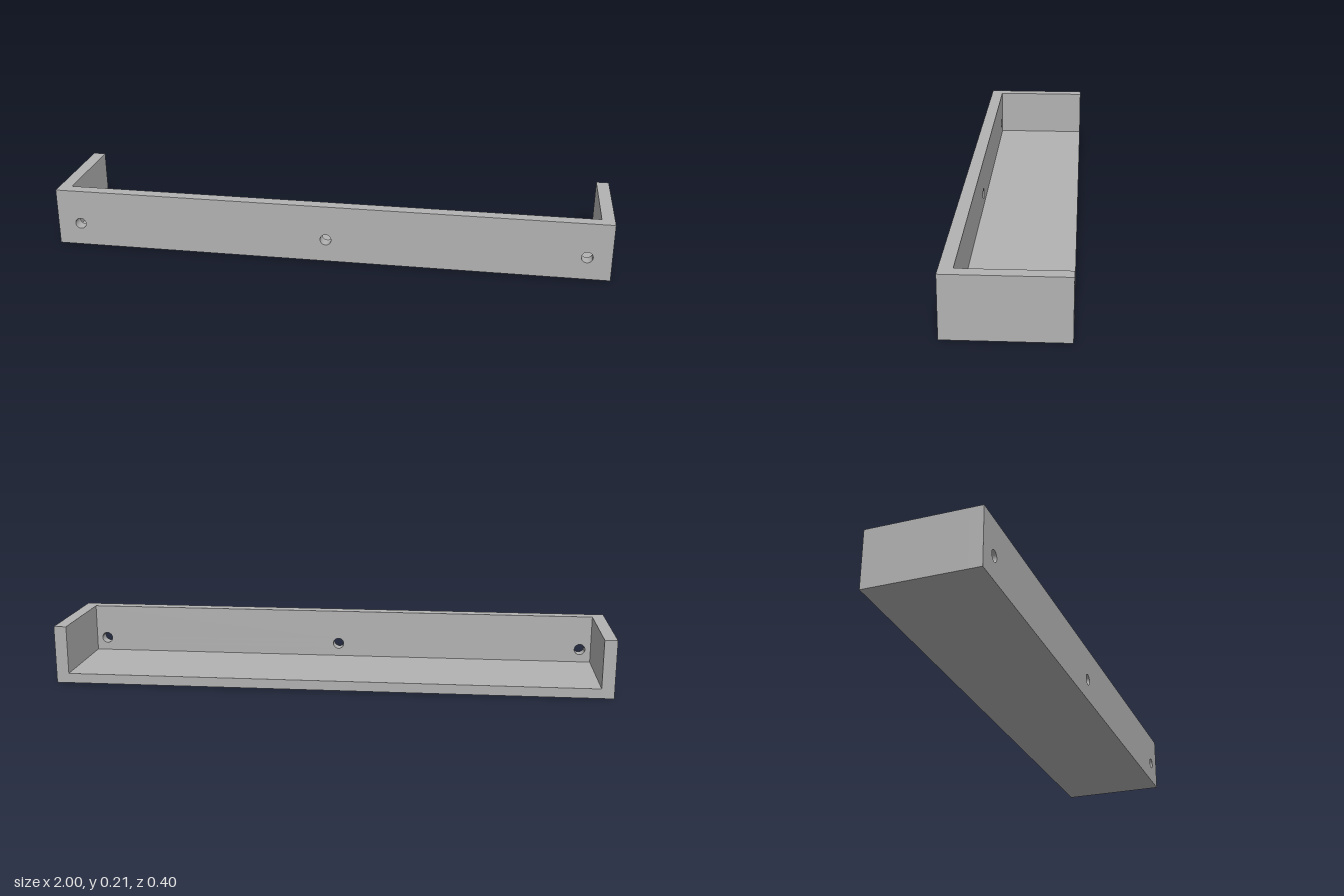
import * as THREE from 'three';

const W = 2, H = 0.21, D = 0.396; // overall size
const T = 0.045;                  // wall thickness
const FLOOR = 0.035;              // floor thickness

export function createModel() {
  const group = new THREE.Group();
  const grey = new THREE.MeshStandardMaterial({ color: 0xb2b2b2 });
  grey.name = 'grey';

  const add = (name, geometry, x, y, z) => {
    const mesh = new THREE.Mesh(geometry, grey);
    mesh.name = name;
    mesh.position.set(x, y, z);
    group.add(mesh);
  };

  // Front wall with three round screw holes
  const face = new THREE.Shape([
    new THREE.Vector2(-W / 2, 0), new THREE.Vector2(W / 2, 0),
    new THREE.Vector2(W / 2, H), new THREE.Vector2(-W / 2, H),
  ]);
  for (const x of [-0.915, 0, 0.915]) {
    face.holes.push(new THREE.Path().absarc(x, 0.083, 0.02, 0, Math.PI * 2, true));
  }
  const front = new THREE.ExtrudeGeometry(face, { depth: T, bevelEnabled: false, curveSegments: 16 });
  add('frontWall', front, 0, 0, D / 2 - T);

  // End walls, running from the front wall to the open back
  const side = new THREE.BoxGeometry(T, H, D - T);
  for (const s of [-1, 1]) {
    add(s > 0 ? 'leftWall' : 'rightWall', side, s * (W - T) / 2, H / 2, -T / 2);
  }

  // Floor between the walls
  add('floor', new THREE.BoxGeometry(W - 2 * T, FLOOR, D - T), 0, FLOOR / 2, -T / 2);

  return group;
}
